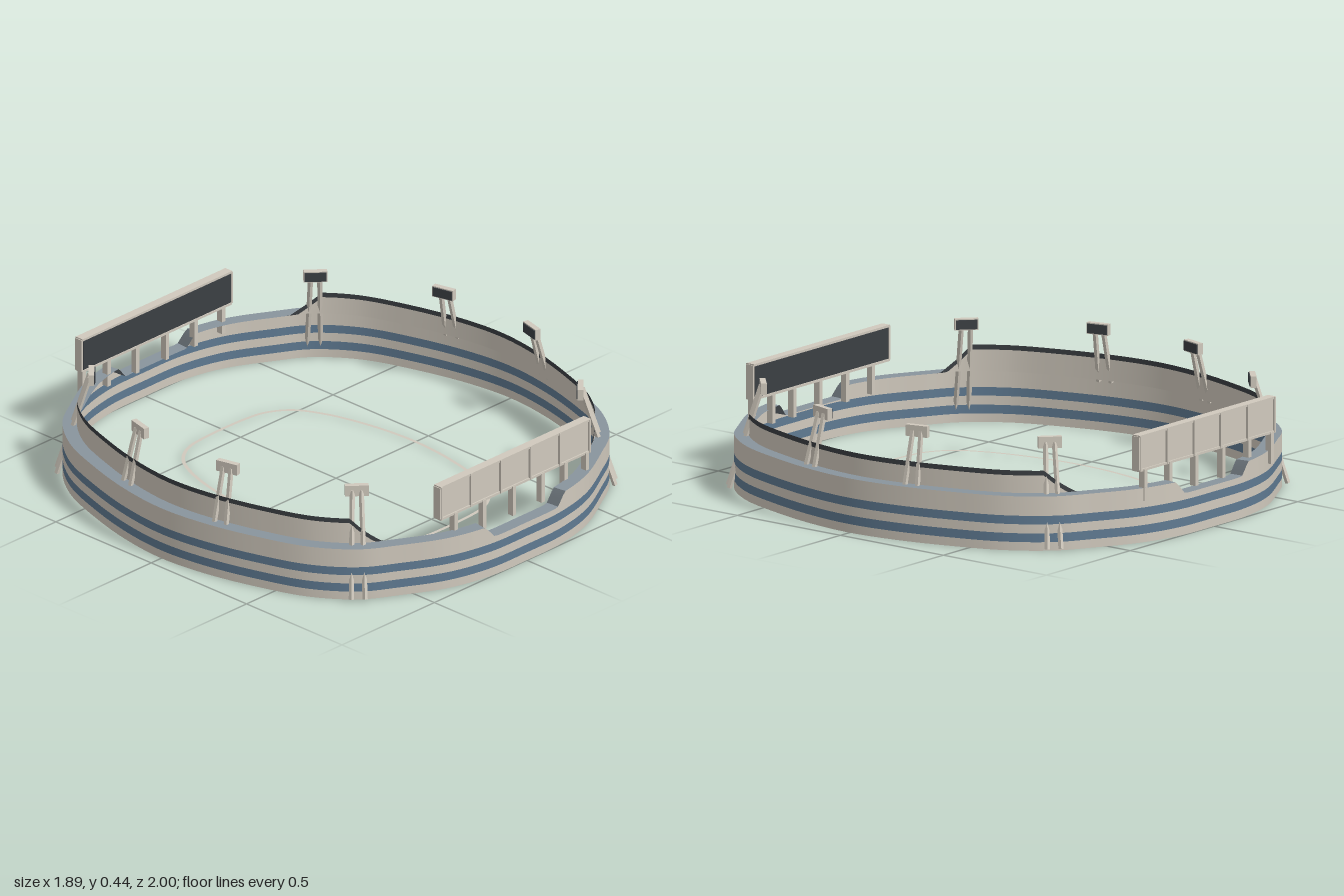
import * as THREE from 'three';

const mat = (name, color) => {
  const m = new THREE.MeshStandardMaterial({ color, side: THREE.DoubleSide });
  m.name = name;
  return m;
};

export function createModel() {
  const concrete = mat('warm concrete', 0xd0c9bd);
  const glazing = mat('blue band', 0x5f7a92);
  const paving = mat('deck grey', 0x89949d);
  const rampGrey = mat('ramp grey', 0x666e74);
  const dark = mat('dark panel', 0x3b3f43);
  const model = new THREE.Group();
  model.name = 'stadium';

  const add = (name, geo, m, parent = model) => {
    const mesh = new THREE.Mesh(geo, m);
    mesh.name = name;
    parent.add(mesh);
    return mesh;
  };
  const box = (name, w, h, d, x, y, z, m, parent) => {
    const mesh = add(name, new THREE.BoxGeometry(w, h, d), m, parent);
    mesh.position.set(x, y, z);
    return mesh;
  };

  // Closed smooth footprint mirrored from one quadrant (from +z to +x)
  const N = 400;
  const footprint = (quad) => {
    const back = quad.slice(1, -1).reverse();
    const pts = [
      ...quad, ...back.map(([x, z]) => [x, -z]),
      [0, -quad[0][1]], ...quad.slice(1).map(([x, z]) => [-x, -z]),
      ...back.map(([x, z]) => [-x, z]),
    ].map(([x, z]) => new THREE.Vector3(x, 0, z));
    const c = new THREE.CatmullRomCurve3(pts, true, 'centripetal');
    return Array.from({ length: N }, (_, i) => c.getPointAt(i / N));
  };
  // Inward parallel of a footprint
  const inset = (pts, d) => pts.map((p, i) => {
    const t = pts[(i + 1) % N].clone().sub(pts[(i + N - 1) % N]).normalize();
    return new THREE.Vector3(p.x - -t.z * -1 * -d * -1 * -1, 0, p.z).set(p.x + t.z * d, 0, p.z - t.x * d);
  });
  // Ribbon between two lines of points, keeping only wanted segments
  const ribbon = (name, m, a, b, keep = () => true) => {
    const pos = [], idx = [];
    for (let i = 0; i < N; i++) {
      const p = a(i), q = b(i), j = (i + 1) % N;
      pos.push(p.x, p.y, p.z, q.x, q.y, q.z);
      if (keep(i, j)) idx.push(2 * i, 2 * j, 2 * i + 1, 2 * j, 2 * j + 1, 2 * i + 1);
    }
    const g = new THREE.BufferGeometry();
    g.setAttribute('position', new THREE.Float32BufferAttribute(pos, 3));
    g.setIndex(idx);
    g.computeVertexNormals();
    return add(name, g, m);
  };
  const at = (p, y) => ({ x: p.x, y, z: p.z });
  const clamp = THREE.MathUtils.clamp;

  const outer = footprint([[0, 1], [0.19, 0.995], [0.37, 0.953], [0.55, 0.86],
    [0.675, 0.78], [0.79, 0.63], [0.87, 0.42], [0.925, 0.2], [0.945, 0]]);
  const inner = inset(outer, 0.054);

  // Outer wall, lowered at both entrances
  const deckY = (i) => 0.16 + 0.05 * clamp((Math.abs(outer[i].x) - 0.17) / 0.045, 0, 1);
  const levels = [0, 0.033, 0.067, 0.102, 0.135];
  levels.forEach((y, k) => {
    const top = levels[k + 1];
    ribbon(k % 2 ? 'wallBand' : 'outerWall', k % 2 ? glazing : concrete,
      (i) => at(outer[i], y), (i) => at(outer[i], top ?? deckY(i)));
  });

  // Deck along the wall top, with darker ramps beside the entrances
  const isRamp = (i, j) => Math.abs(deckY(i) - deckY(j)) > 0.004;
  const deckOut = (i) => at(outer[i], deckY(i)), deckIn = (i) => at(inner[i], deckY(i));
  ribbon('deck', paving, deckOut, deckIn, (i, j) => !isRamp(i, j));
  ribbon('entranceRamps', rampGrey, deckOut, deckIn, isRamp);

  // Upper side walls with sloping ends and a dark rim
  const rise = (i) => {
    const full = inner[i].x > 0 ? 0.087 : 0.103;
    return 0.21 + full * clamp((0.79 - Math.abs(inner[i].z)) / 0.075, 0, 1);
  };
  const rimY = (i) => Math.max(0.21, rise(i) - 0.019);
  const raised = (i, j) => rise(i) > 0.2101 || rise(j) > 0.2101;
  ribbon('upperWall', concrete, (i) => at(inner[i], 0.21), (i) => at(inner[i], rimY(i)), raised);
  ribbon('upperRim', dark, (i) => at(inner[i], rimY(i)), (i) => at(inner[i], rise(i)), raised);

  // Field boundary line
  const field = footprint([[0, 0.6], [0.12, 0.596], [0.21, 0.58], [0.3, 0.52],
    [0.365, 0.4], [0.415, 0.2], [0.432, 0]]);
  const fieldIn = inset(field, 0.014);
  ribbon('fieldLine', concrete, (i) => at(field[i], 0.004), (i) => at(fieldIn[i], 0.004));

  // Large screens at both ends; s is the outward z direction
  const screen = (name, cx, z, s, postXs) => {
    const g = new THREE.Group();
    g.name = name;
    model.add(g);
    const w = 0.81, y = 0.346, h = 0.132;
    box('screenBody', w, h, 0.024, cx, y, z, concrete, g);
    box('screenFace', w - 0.012, h - 0.012, 0.006, cx, y, z - s * 0.014, dark, g);
    for (const e of [-1, 1]) {
      box('screenRail', w, 0.009, 0.036, cx, y + e * h / 2, z, concrete, g);
      box('screenEdge', 0.008, h, 0.034, cx + e * w / 2, y, z, concrete, g);
    }
    for (let k = 0; k < 6; k++) {
      box('screenRib', 0.008, h + 0.006, 0.014, cx + (k / 5 - 0.5) * (w - 0.01), y, z + s * 0.014, concrete, g);
    }
    postXs.forEach((x) => box('screenPost', 0.018, 0.122, 0.026, x, 0.221, z + s * 0.008, concrete, g));
  };
  screen('frontScreen', 0.02, 0.905, 1, [-0.305, -0.15, 0.01, 0.165, 0.29, 0.405]);
  screen('backScreen', -0.018, -0.937, -1, [-0.4, -0.265, -0.11, 0.05, 0.205, 0.355]);

  // Floodlight towers: two leaning legs and a lamp head facing inward
  const up = new THREE.Vector3(0, 1, 0);
  const beam = (name, a, b, w, parent) => {
    const d = b.clone().sub(a);
    const mesh = box(name, w, d.length(), w, 0, 0, 0, concrete, parent);
    mesh.position.copy(a).add(b).multiplyScalar(0.5);
    mesh.quaternion.setFromUnitVectors(up, d.normalize());
  };
  const tower = (base, top) => {
    const g = new THREE.Group();
    g.name = 'floodlightTower';
    model.add(g);
    const dir = top.clone().sub(base).setY(0).normalize();
    const side = new THREE.Vector3(dir.z, 0, -dir.x);
    for (const e of [-1, 1]) {
      beam('towerLeg', base.clone().addScaledVector(side, e * 0.026),
        top.clone().addScaledVector(side, e * 0.017), 0.014, g);
    }
    const head = new THREE.Group();
    head.name = 'lampHead';
    head.position.copy(top);
    head.rotation.y = Math.atan2(dir.x, dir.z);
    g.add(head);
    box('lampCase', 0.09, 0.044, 0.022, 0, 0, 0.006, concrete, head);
    box('lampFace', 0.082, 0.036, 0.006, 0, 0, 0.018, dark, head);
  };
  for (const sx of [-1, 1]) {
    const lift = sx < 0 ? 0.012 : 0;
    for (const sz of [-1, 1]) {
      tower(new THREE.Vector3(sx * 0.88, 0.2, sz * 0.245),
        new THREE.Vector3(sx * 0.828, 0.408 + lift, sz * 0.232));
      tower(new THREE.Vector3(sx * 0.695, 0.01, sz * 0.79),
        new THREE.Vector3(sx * 0.61, 0.395 + lift, sz * 0.7));
    }
  }
  return model;
}
